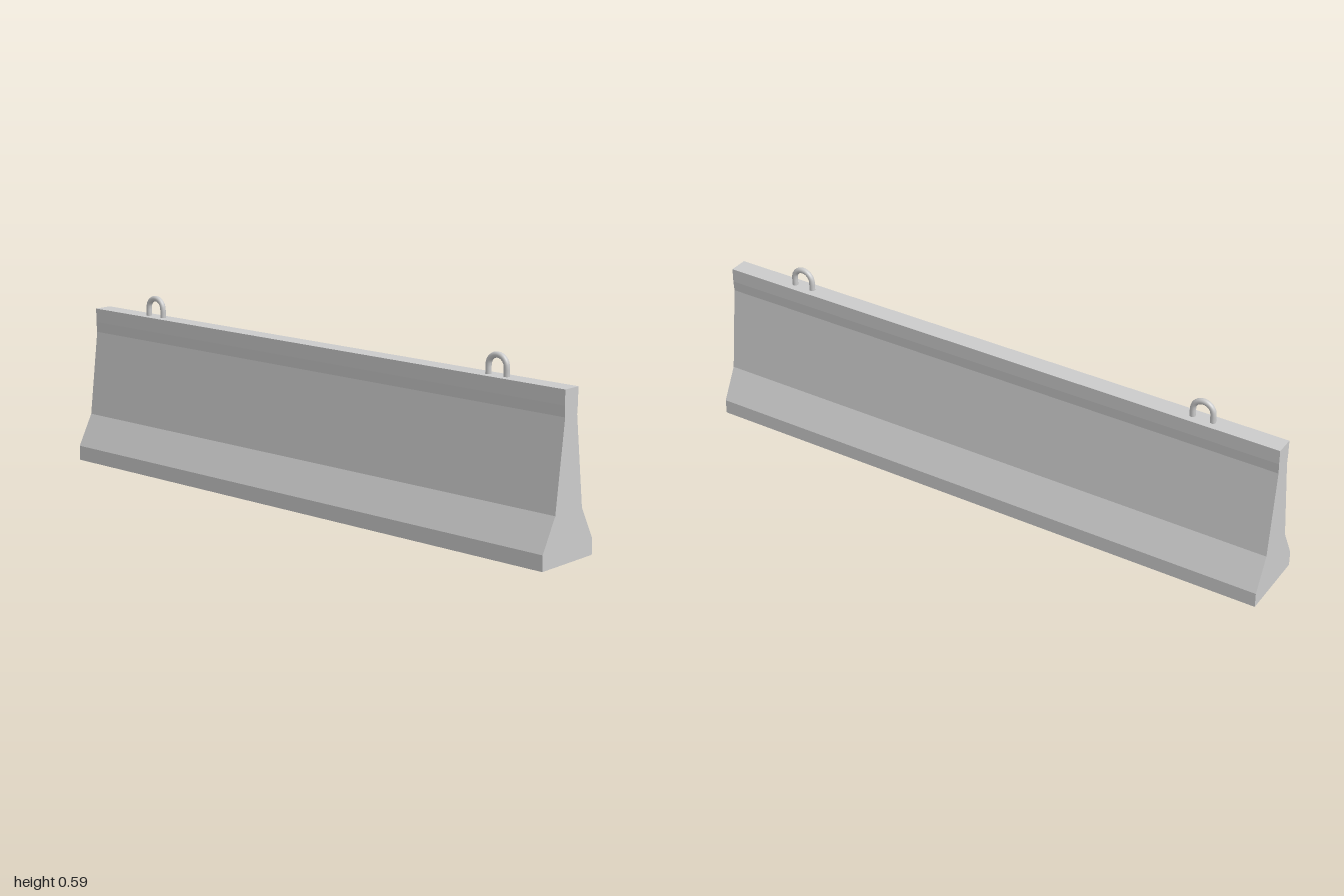
import * as THREE from 'three';

const LENGTH = 2;
const TOP = 0.522;

// Half profile of the barrier: [half depth, height]
const PROFILE = [
  [0.121, 0], [0.121, 0.05], [0.065, 0.155],
  [0.029, 0.44], [0.0315, 0.475], [0.0315, TOP],
];

function makeBarrier(material) {
  // Mirror the half profile and extrude it along the length
  const right = PROFILE.map(([z, y]) => new THREE.Vector2(z, y));
  const left = PROFILE.map(([z, y]) => new THREE.Vector2(-z, y)).reverse();
  const geometry = new THREE.ExtrudeGeometry(new THREE.Shape([...right, ...left]), {
    depth: LENGTH, bevelEnabled: false,
  });
  geometry.translate(0, 0, -LENGTH / 2).rotateY(Math.PI / 2);
  const mesh = new THREE.Mesh(geometry, material);
  mesh.name = 'barrierBody';
  return mesh;
}

function makeLiftingLoop(material) {
  // Straight legs sunk into the top, joined by a half-round arch
  const radius = 0.034, bar = 0.0095, archY = 0.593 - radius - bar;
  const points = [new THREE.Vector3(radius, TOP - 0.012, 0), new THREE.Vector3(radius, TOP + 0.01, 0)];
  const steps = 8;
  for (let i = 0; i <= steps; i++) {
    const a = (i / steps) * Math.PI;
    points.push(new THREE.Vector3(Math.cos(a) * radius, archY + Math.sin(a) * radius, 0));
  }
  points.push(new THREE.Vector3(-radius, TOP + 0.01, 0), new THREE.Vector3(-radius, TOP - 0.012, 0));
  const path = new THREE.CatmullRomCurve3(points);
  return new THREE.Mesh(new THREE.TubeGeometry(path, 28, bar, 12, false), material);
}

export function createModel() {
  const group = new THREE.Group();
  group.name = 'concreteBarrier';
  const material = new THREE.MeshStandardMaterial({ color: 0xcccccc });
  group.add(makeBarrier(material));

  // One lifting loop near each end
  for (const side of [1, -1]) {
    const loop = makeLiftingLoop(material);
    loop.name = side > 0 ? 'leftLiftingLoop' : 'rightLiftingLoop';
    loop.position.x = side * 0.731;
    group.add(loop);
  }
  return group;
}
